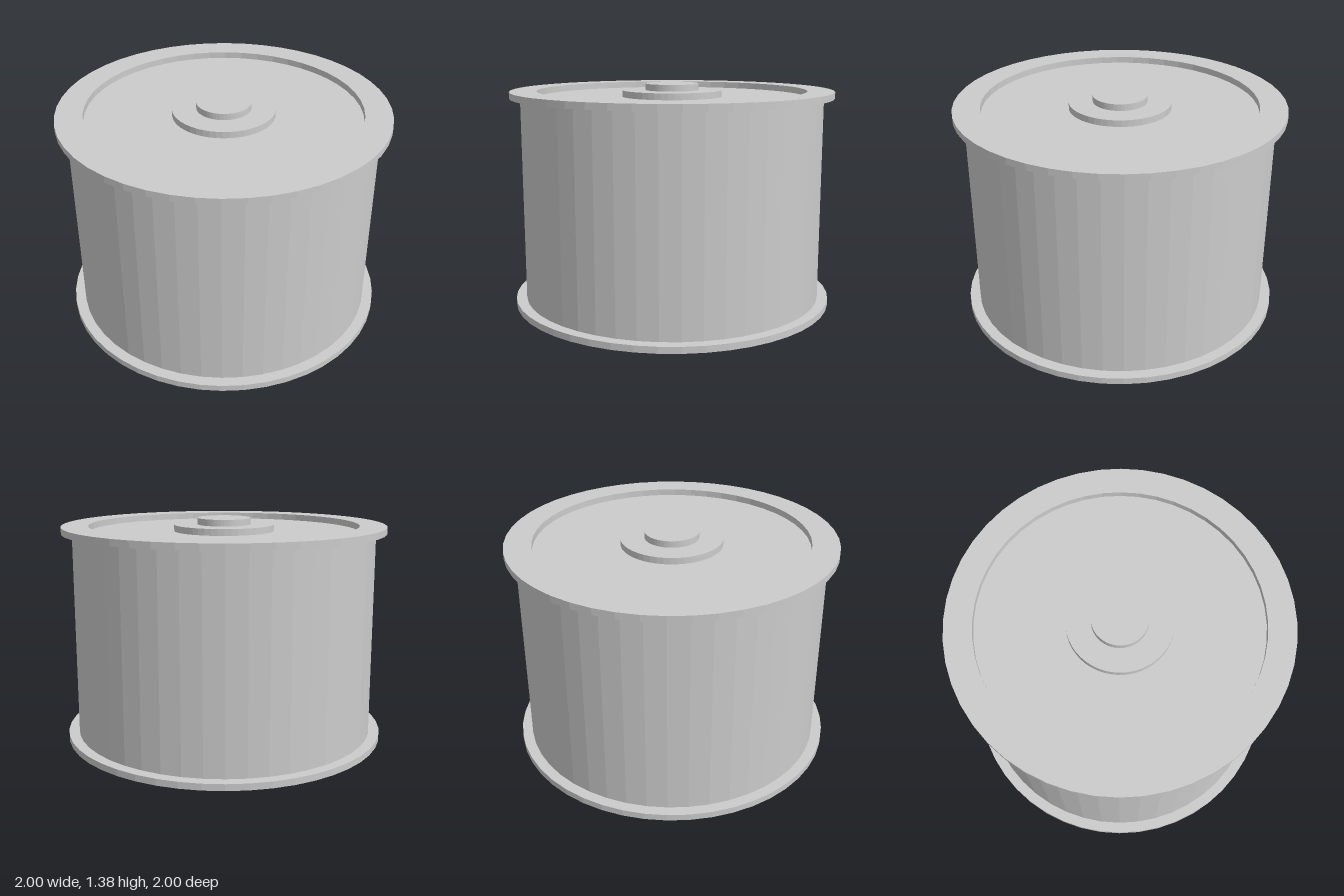
import * as THREE from 'three';

const SEGMENTS = 48;

export function createModel() {
  const model = new THREE.Group();
  model.name = 'spool';
  const material = new THREE.MeshStandardMaterial({ color: 0xcccccc, flatShading: true });

  const add = (name, geometry) => {
    const mesh = new THREE.Mesh(geometry, material);
    mesh.name = name;
    model.add(mesh);
  };

  // Solid disc or drum standing between two heights
  const drum = (name, radius, bottom, top) => {
    const geometry = new THREE.CylinderGeometry(radius, radius, top - bottom, SEGMENTS);
    geometry.translate(0, (bottom + top) / 2, 0);
    add(name, geometry);
  };

  drum('bottomFlange', 1, 0, 0.04);
  drum('body', 0.935, 0.04, 1.295); // its top is the recessed floor
  drum('hubStep', 0.31, 1.295, 1.335);
  drum('hubCap', 0.165, 1.335, 1.375);

  // Open ring around the recess, as a closed rectangular profile
  const inner = 0.835;
  const profile = [[inner, 1.295], [1, 1.295], [1, 1.335], [inner, 1.335], [inner, 1.295]]
    .map(([r, y]) => new THREE.Vector2(r, y));
  add('topRim', new THREE.LatheGeometry(profile, SEGMENTS));

  return model;
}
